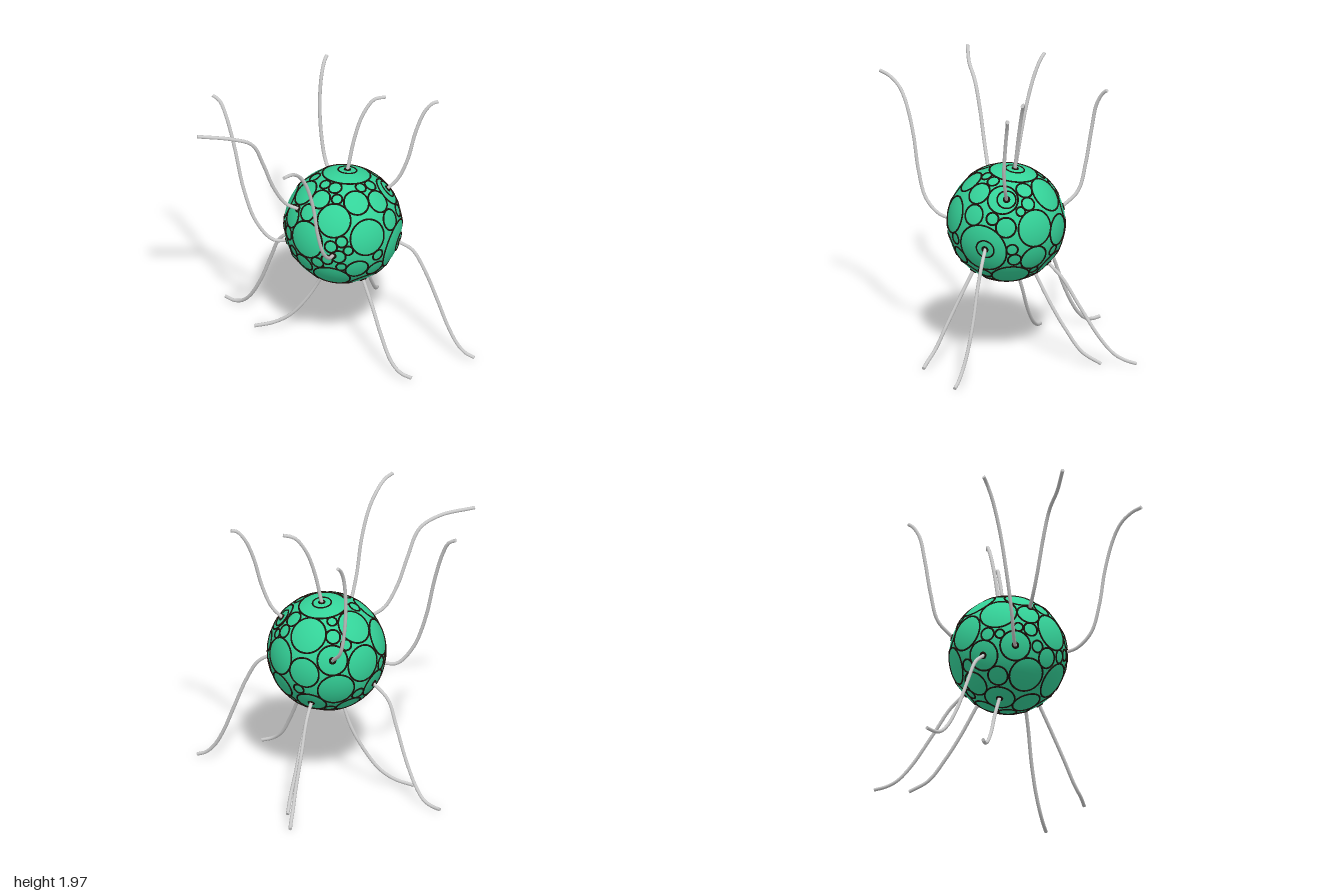
import * as THREE from 'three';

const CENTRE = new THREE.Vector3(0.04, 0.985, 0);
const R = 0.423;
const WIRE = 0.013;
const V = (x, y, z) => new THREE.Vector3(x, y, z);

// Centre lines of the filaments, from the body to the tip
const FILAMENTS = {
  up: [
    [[-0.28, 1.21, 0.17], [-0.36, 1.26, 0.19], [-0.45, 1.42, 0.23], [-0.52, 1.63, 0.27], [-0.6, 1.83, 0.32], [-0.74, 1.91, 0.38], [-0.99, 1.96, 0.43]],
    [[-0.38, 0.87, 0.07], [-0.46, 0.88, 0.06], [-0.58, 1.02, 0.05], [-0.67, 1.27, 0.02], [-0.74, 1.6, -0.03], [-0.8, 1.82, -0.08], [-0.85, 1.93, -0.12], [-0.9, 1.96, -0.14]],
    [[-0.02, 0.97, 0.43], [-0.04, 1, 0.5], [-0.08, 1.1, 0.6], [-0.12, 1.3, 0.66], [-0.15, 1.55, 0.7], [-0.2, 1.77, 0.76], [-0.25, 1.88, 0.82], [-0.3, 1.94, 0.9], [-0.35, 1.955, 0.97]],
    [[-0.04, 1.1, -0.42], [-0.1, 1.2, -0.5], [-0.135, 1.4, -0.55], [-0.147, 1.65, -0.59], [-0.135, 1.85, -0.63], [-0.115, 1.94, -0.68], [-0.1, 1.965, -0.71]],
    [[0.07, 1.41, -0.07], [0.12, 1.65, -0.1], [0.18, 1.83, -0.13], [0.26, 1.94, -0.155], [0.34, 1.96, -0.16]],
    [[0.37, 1.27, -0.05], [0.43, 1.34, -0.05], [0.5, 1.5, -0.05], [0.56, 1.73, -0.07], [0.62, 1.88, -0.09], [0.68, 1.95, -0.1], [0.72, 1.96, -0.11]],
  ],
  down: [
    [[-0.36, 0.8, -0.19], [-0.42, 0.72, -0.22], [-0.48, 0.55, -0.27], [-0.56, 0.3, -0.34], [-0.64, 0.12, -0.41], [-0.7, 0.045, -0.46], [-0.76, 0.02, -0.5], [-0.82, 0.02, -0.55]],
    [[-0.09, 0.57, -0.06], [-0.15, 0.42, -0.09], [-0.25, 0.25, -0.11], [-0.35, 0.13, -0.13], [-0.46, 0.06, -0.145], [-0.6, 0.02, -0.155]],
    [[0.13, 0.7, -0.34], [0.15, 0.62, -0.42], [0.175, 0.42, -0.55], [0.205, 0.2, -0.7], [0.215, 0.09, -0.8], [0.22, 0.045, -0.88], [0.22, 0.02, -0.97]],
    [[0.15, 0.62, -0.24], [0.19, 0.42, -0.35], [0.22, 0.25, -0.46], [0.25, 0.1, -0.58], [0.26, 0.02, -0.72]],
    [[0.2, 0.64, 0.23], [0.26, 0.48, 0.3], [0.33, 0.28, 0.39], [0.4, 0.12, 0.46], [0.47, 0.05, 0.505], [0.55, 0.02, 0.525]],
    [[0.46, 0.9, 0.1], [0.54, 0.84, 0.1], [0.63, 0.68, 0.12], [0.72, 0.45, 0.14], [0.8, 0.24, 0.17], [0.87, 0.11, 0.2], [0.93, 0.05, 0.22], [0.99, 0.025, 0.235]],
  ],
};

// Main plates: two direction components per facing side, then angular radius
const PLATES = {
  front: [[-0.13, 0.56, 0.29], [-0.61, 0.14, 0.33], [-0.17, -0.59, 0.32], [0.27, -0.35, 0.38], [0.46, 0.25, 0.32],
    [0.25, 0.78, 0.27], [-0.04, -0.05, 0.12], [-0.52, -0.41, 0.13]],
  side: [[0.29, -0.21, 0.44], [-0.05, 0.65, 0.26], [-0.62, 0.16, 0.32], [-0.58, -0.39, 0.3], [0.44, 0.37, 0.23], [-0.24, -0.18, 0.11]],
  top: [[0.06, -0.14, 0.42], [-0.33, 0.69, 0.3], [0.25, 0.73, 0.27], [-0.64, 0.2, 0.24], [-0.52, -0.48, 0.3], [0.37, 0.38, 0.15], [-0.12, 0.35, 0.12]],
};

// Fill the sphere with touching circles: placed plates first, then the widest gaps
function packPlates(sockets) {
  const discs = [];
  const room = (d) => discs.reduce((m, o) => Math.min(m, d.angleTo(o.dir) - o.angle), 0.32);
  const add = (dir, angle) => discs.push({ dir, angle });
  for (const [side, list] of Object.entries(PLATES)) {
    for (const [a, b, angle] of list) {
      const c = Math.sqrt(1 - a * a - b * b);
      const dir = side === 'front' ? V(a, b, c) : side === 'side' ? V(c, b, a) : V(a, c, b);
      const free = discs.reduce((m, o) => Math.min(m, dir.angleTo(o.dir) - o.angle), angle);
      if (free > 0.08) add(dir, free);
    }
  }
  for (const dir of sockets) {
    const free = room(dir);
    if (free > 0.08) add(dir, Math.min(free, 0.26));
  }
  const spots = Array.from({ length: 1500 }, (_, i) => {
    const y = 1 - (2 * i + 1) / 1500, r = Math.sqrt(1 - y * y), t = i * 2.399963;
    return V(r * Math.cos(t), y, r * Math.sin(t));
  });
  for (let n = 0; n < 90; n++) {
    let best = null, width = 0.075;
    for (const s of spots) {
      const w = room(s);
      if (w > width) { width = w; best = s; }
    }
    if (!best) break;
    add(best, width);
  }
  return discs;
}

export function createModel() {
  const model = new THREE.Group();
  const green = new THREE.MeshStandardMaterial({ color: 0x34d399 });
  const dark = new THREE.MeshStandardMaterial({ color: 0x1c100a });
  const grey = new THREE.MeshStandardMaterial({ color: 0xcccccc, side: THREE.DoubleSide });

  const body = new THREE.Mesh(new THREE.SphereGeometry(R, 64, 40), green);
  body.name = 'body';
  body.position.copy(CENTRE);
  model.add(body);

  // Dark outlines lying on the body
  const outlines = new THREE.Group();
  outlines.name = 'plateOutlines';
  model.add(outlines);
  const ring = (name, dir, angle, thick) => {
    const mesh = new THREE.Mesh(new THREE.TorusGeometry(R * Math.sin(angle), thick, 6, 40), dark);
    mesh.name = name;
    mesh.position.copy(CENTRE).addScaledVector(dir, R * Math.cos(angle));
    mesh.quaternion.setFromUnitVectors(V(0, 0, 1), dir);
    outlines.add(mesh);
  };

  // Wavy filaments with closed tips and a dark socket at the root
  const sockets = [];
  for (const [way, list] of Object.entries(FILAMENTS)) {
    const group = new THREE.Group();
    group.name = way === 'up' ? 'upperFilaments' : 'lowerFilaments';
    model.add(group);
    for (const path of list) {
      const points = path.map((p) => V(...p));
      const dir = points[0].clone().sub(CENTRE).normalize();
      points[0].copy(CENTRE).addScaledVector(dir, R * 0.97);
      const curve = new THREE.CatmullRomCurve3(points);
      const tube = new THREE.Mesh(new THREE.TubeGeometry(curve, 40, WIRE, 8), grey);
      tube.name = 'filament';
      const tip = new THREE.Mesh(new THREE.CircleGeometry(WIRE, 8), grey);
      tip.name = 'filamentTip';
      tip.position.copy(curve.getPoint(1));
      tip.quaternion.setFromUnitVectors(V(0, 0, 1), curve.getTangent(1));
      group.add(tube, tip);
      ring('socketRing', dir, 0.045, 0.008);
      sockets.push(dir);
    }
  }
  for (const i of [4, 5, 11]) ring('innerRing', sockets[i], 0.16, 0.006);
  for (const { dir, angle } of packPlates(sockets)) ring('plateOutline', dir, angle, 0.007);

  return model;
}
